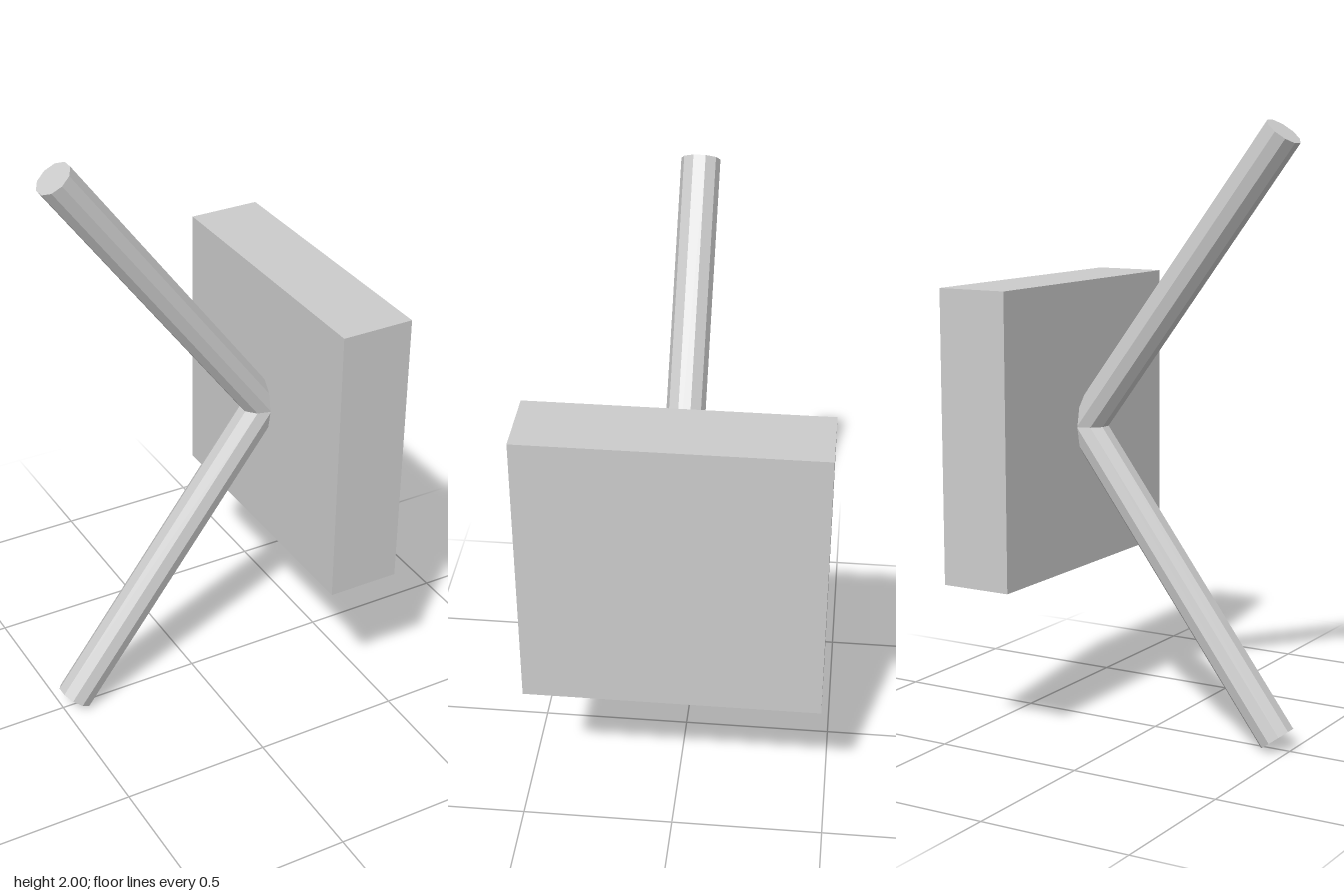
import * as THREE from 'three';

const MID = 1; // height where the two rods meet

// Rod running from its free end down to a mitre on the middle plane
function rodGeometry() {
  const radius = 0.062, length = 1.2, tilt = 0.64;
  const g = new THREE.CylinderGeometry(radius, radius, length, 10);
  g.translate(0, -length / 2, 0);
  g.rotateZ(tilt);
  g.translate(-0.455, 1.965, 0);

  // Slide the inner ring along the rod axis until it lies on the middle plane
  const p = g.attributes.position;
  for (let i = 0; i < p.count; i++) {
    if (p.getY(i) > 1.5) continue;
    const slide = (MID - p.getY(i)) / Math.cos(tilt);
    p.setX(i, p.getX(i) - Math.sin(tilt) * slide);
    p.setY(i, MID);
  }
  return g;
}

export function createModel() {
  const model = new THREE.Group();
  const material = new THREE.MeshStandardMaterial({ color: 0xcccccc, flatShading: true });

  // Thick square block
  const block = new THREE.Mesh(new THREE.BoxGeometry(0.243, 0.955, 0.955), material);
  block.name = 'block';
  block.position.set(0.382, 1.003, 0);
  model.add(block);

  // Two rods spreading in a V, the lower one turned half way about x
  const geometry = rodGeometry();
  const upper = new THREE.Mesh(geometry, material);
  upper.name = 'upperRod';
  const lower = new THREE.Mesh(geometry, material);
  lower.name = 'lowerRod';
  lower.rotation.x = Math.PI;
  lower.position.y = 2 * MID;
  model.add(upper, lower);

  return model;
}
